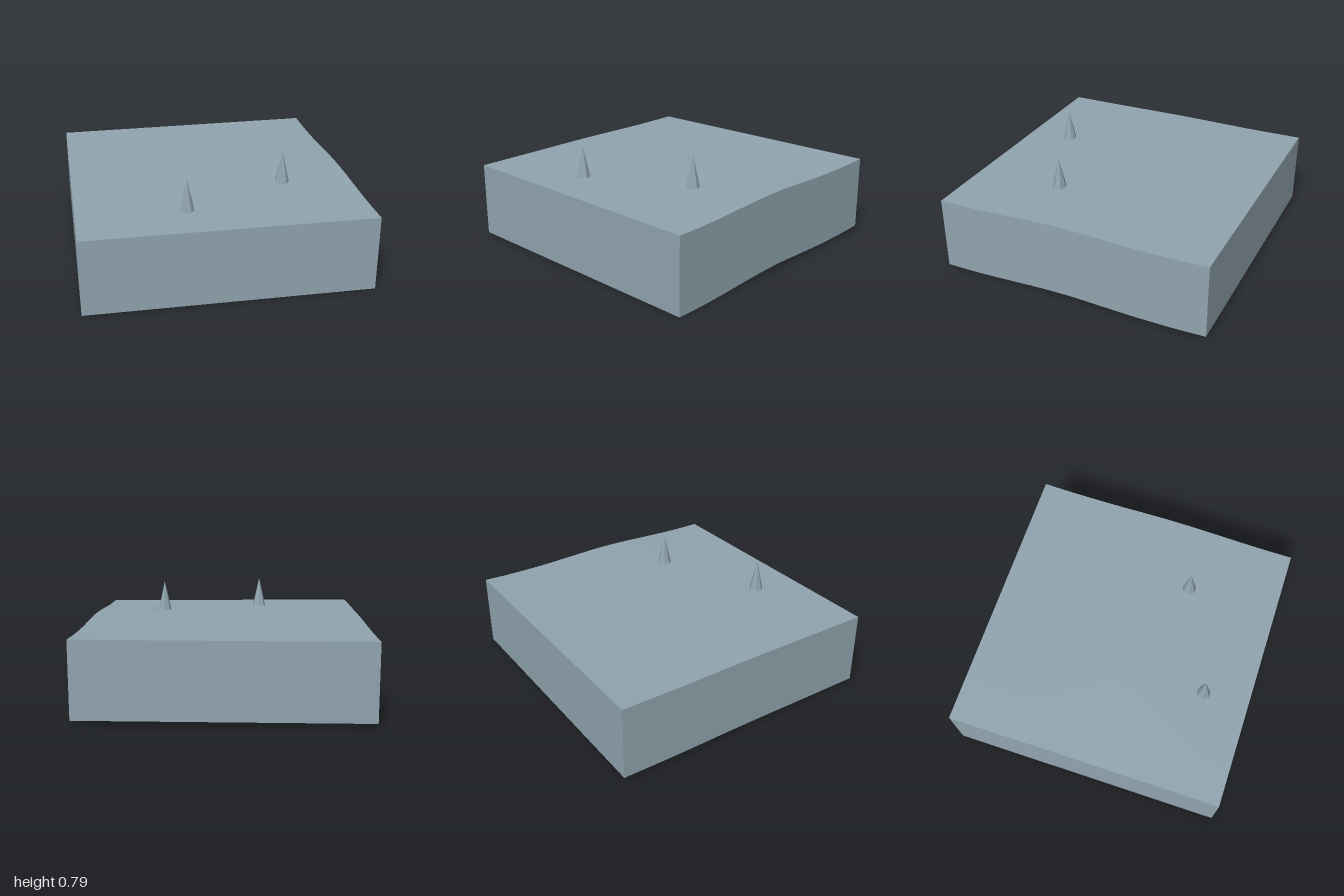
import * as THREE from 'three';

const SEG = 40;
const DEPTH = 0.537;

// Height profiles [z, y] along the two side edges; the ground blends between them
const profile = (pts) => {
  const curve = new THREE.CatmullRomCurve3(pts.map(([z, y]) => new THREE.Vector3(z, y, 0)));
  const samples = curve.getPoints(200);
  return (z) => {
    let i = 0;
    while (i < 199 && samples[i + 1].x < z) i++;
    const a = samples[i], b = samples[i + 1];
    return THREE.MathUtils.lerp(a.y, b.y, THREE.MathUtils.clamp((z - a.x) / (b.x - a.x), 0, 1));
  };
};
const rightEdge = profile([[-1, 0.572], [-0.8, 0.563], [-0.5, 0.56], [-0.25, 0.566],
  [0, 0.572], [0.25, 0.566], [0.5, 0.552], [0.75, 0.54], [1, 0.537]]);
const leftEdge = profile([[-1, 0.565], [-0.6, 0.559], [0, 0.56], [0.5, 0.553], [1, 0.547]]);
const height = (x, z) => THREE.MathUtils.lerp(leftEdge(z), rightEdge(z), (x + 1) / 2);

export function createModel() {
  const group = new THREE.Group();
  const slate = new THREE.MeshStandardMaterial({ color: 0x90a4ae, side: THREE.DoubleSide });
  slate.name = 'blue grey';
  const rock = new THREE.MeshStandardMaterial({ color: 0x90a4ae, side: THREE.DoubleSide, flatShading: true });
  rock.name = 'blue grey faceted';

  const add = (geometry, material, name) => {
    const mesh = new THREE.Mesh(geometry, material);
    mesh.name = name;
    group.add(mesh);
    return mesh;
  };

  // Gently rolling ground
  const ground = new THREE.PlaneGeometry(2, 2, SEG, SEG).rotateX(-Math.PI / 2);
  const gp = ground.attributes.position;
  for (let i = 0; i < gp.count; i++) gp.setY(i, height(gp.getX(i), gp.getZ(i)));
  ground.computeVertexNormals();
  add(ground, slate, 'ground');

  // Four skirt walls of constant depth, open below
  ['frontWall', 'leftWall', 'backWall', 'rightWall'].forEach((name, k) => {
    const wall = new THREE.PlaneGeometry(2, 2, SEG, 1).translate(0, 0, 1).rotateY(k * Math.PI / 2);
    const p = wall.attributes.position;
    for (let i = 0; i < p.count; i++) {
      const top = height(p.getX(i), p.getZ(i));
      p.setY(i, p.getY(i) > 0 ? top : top - DEPTH);
    }
    add(wall, slate, name);
  });

  // Two seven-sided spikes standing on the ground
  [[-0.25, 0.667], [0.5, 0.333]].forEach(([x, z], i) => {
    const spike = new THREE.ConeGeometry(0.053, 0.23, 7).rotateY(Math.PI).translate(0, 0.115, 0);
    add(spike, rock, i ? 'leftSpike' : 'rightSpike').position.set(x, height(x, z) - 0.005, z);
  });

  return group;
}
